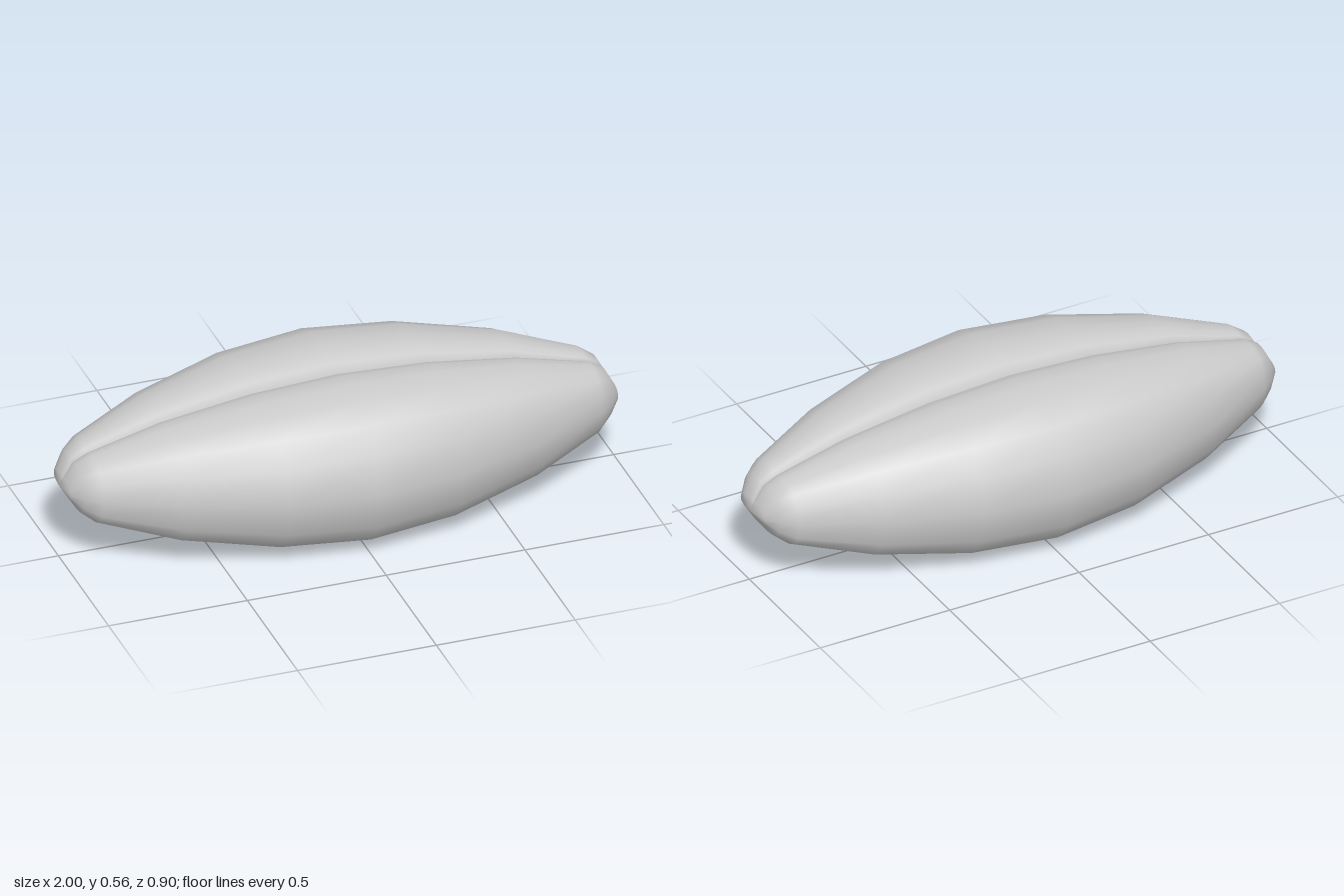
import * as THREE from 'three';

const MID_Y = 0.282;

// Half cross-section at the widest point, from the crease over the side to the belly: [z, y]
const HALF = [
  [0, 0.517], [0.035, 0.538], [0.08, 0.554], [0.15, 0.56], [0.25, 0.546], [0.35, 0.505],
  [0.423, 0.42], [0.45, 0.282], [0.425, 0.147], [0.35, 0.06], [0.25, 0.018], [0.14, 0.004], [0, 0.002],
];

// Half length stations: [x, half width, top y, bottom y]
const STATIONS = [
  [0, 0.45, 0.56, 0.003], [0.315, 0.409, 0.54, 0.022], [0.64, 0.297, 0.484, 0.077],
  [0.9, 0.17, 0.405, 0.16], [0.95, 0.128, 0.375, 0.2], [0.985, 0.088, 0.312, 0.256],
];

// Full closed outline, with the -z half mirrored
const OUTLINE = [...HALF, ...HALF.slice(1, -1).reverse().map(([z, y]) => [-z, y])];

function grainGeometry() {
  const rings = [...STATIONS.slice(1).reverse().map(([x, ...r]) => [-x, ...r]), ...STATIONS];
  const n = OUTLINE.length;
  const positions = [];
  const index = [];

  // Scale the outline to each station along the length
  for (const [x, width, top, bottom] of rings) {
    const up = (top - MID_Y) / 0.278;
    const down = (MID_Y - bottom) / 0.28;
    for (const [z, y] of OUTLINE) {
      const dy = y - MID_Y;
      positions.push(x, MID_Y + dy * (dy > 0 ? up : down), z * width / 0.45);
    }
  }

  // Pointed ends
  const leftTip = rings.length * n;
  const rightTip = leftTip + 1;
  positions.push(1, MID_Y, 0, -1, MID_Y, 0);

  // Skin between rings, then fans to the tips
  const last = (rings.length - 1) * n;
  for (let j = 0; j < n; j++) {
    const k = (j + 1) % n;
    for (let r = 0; r < last; r += n) {
      index.push(r + j, r + k, r + n + j, r + k, r + n + k, r + n + j);
    }
    index.push(last + j, last + k, leftTip, k, j, rightTip);
  }

  const geometry = new THREE.BufferGeometry();
  geometry.setAttribute('position', new THREE.Float32BufferAttribute(positions, 3));
  geometry.setIndex(index);
  geometry.computeVertexNormals();
  return geometry;
}

export function createModel() {
  const group = new THREE.Group();
  group.name = 'grain';
  const kernel = new THREE.Mesh(grainGeometry(), new THREE.MeshStandardMaterial({ color: 0xcccccc }));
  kernel.name = 'creasedKernel';
  group.add(kernel);
  return group;
}
